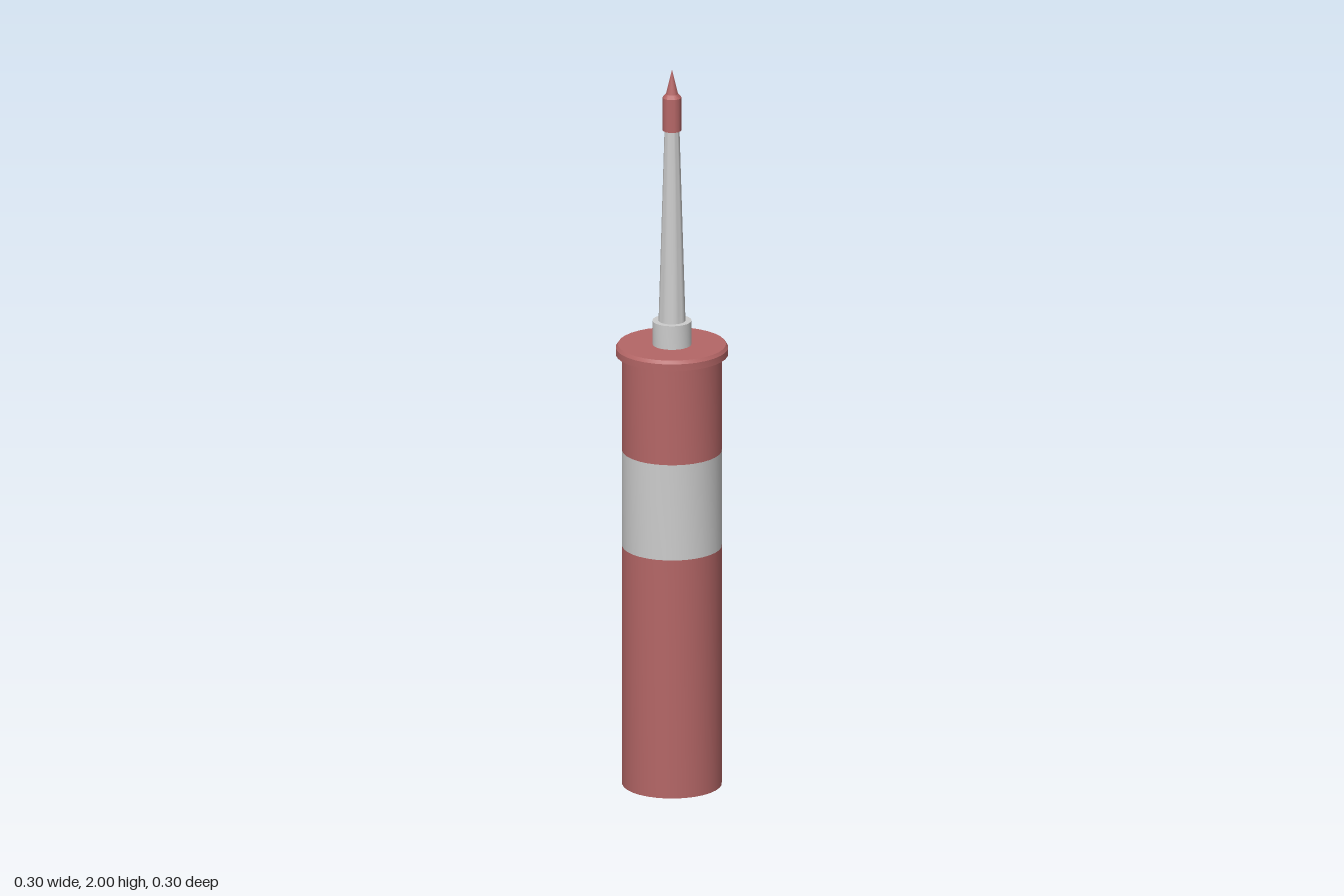
import * as THREE from 'three';
import { toCreasedNormals } from 'three/addons/utils/BufferGeometryUtils.js';

const SIDES = 32;

export function createModel() {
  const model = new THREE.Group();
  model.name = 'cartridge';
  const red = new THREE.MeshStandardMaterial({ color: 0xb46666 });
  const grey = new THREE.MeshStandardMaterial({ color: 0xcccccc });

  // Turned part from [radius, height] pairs, listed from bottom to top
  const turn = (name, material, profile) => {
    const points = profile.map(([r, y]) => new THREE.Vector2(r, y));
    const geometry = toCreasedNormals(new THREE.LatheGeometry(points, SIDES), 0.5);
    const mesh = new THREE.Mesh(geometry, material);
    mesh.name = name;
    model.add(mesh);
  };

  // Barrel with a dished base, split by a plain label band
  turn('lowerBarrel', red, [[0, 0.03], [0.092, 0.03], [0.133, 0], [0.133, 0.667]]);
  turn('labelBand', grey, [[0.133, 0.667], [0.133, 0.934]]);
  turn('upperBarrel', red, [[0.133, 0.934], [0.133, 1.205]]);

  // Flanged lid with a softened top edge
  turn('lid', red, [[0.133, 1.203], [0.15, 1.203], [0.15, 1.222], [0.144, 1.231], [0, 1.231]]);

  // Threaded neck collar and tapering nozzle
  turn('collar', grey, [[0.052, 1.231], [0.052, 1.297], [0, 1.297]]);
  turn('nozzle', grey, [[0.036, 1.297], [0.02, 1.835]]);

  // Nozzle cap ending in a sharp point
  turn('nozzleCap', red, [[0, 1.83], [0.025, 1.83], [0.025, 1.922], [0.016, 1.932], [0, 2]]);

  return model;
}
